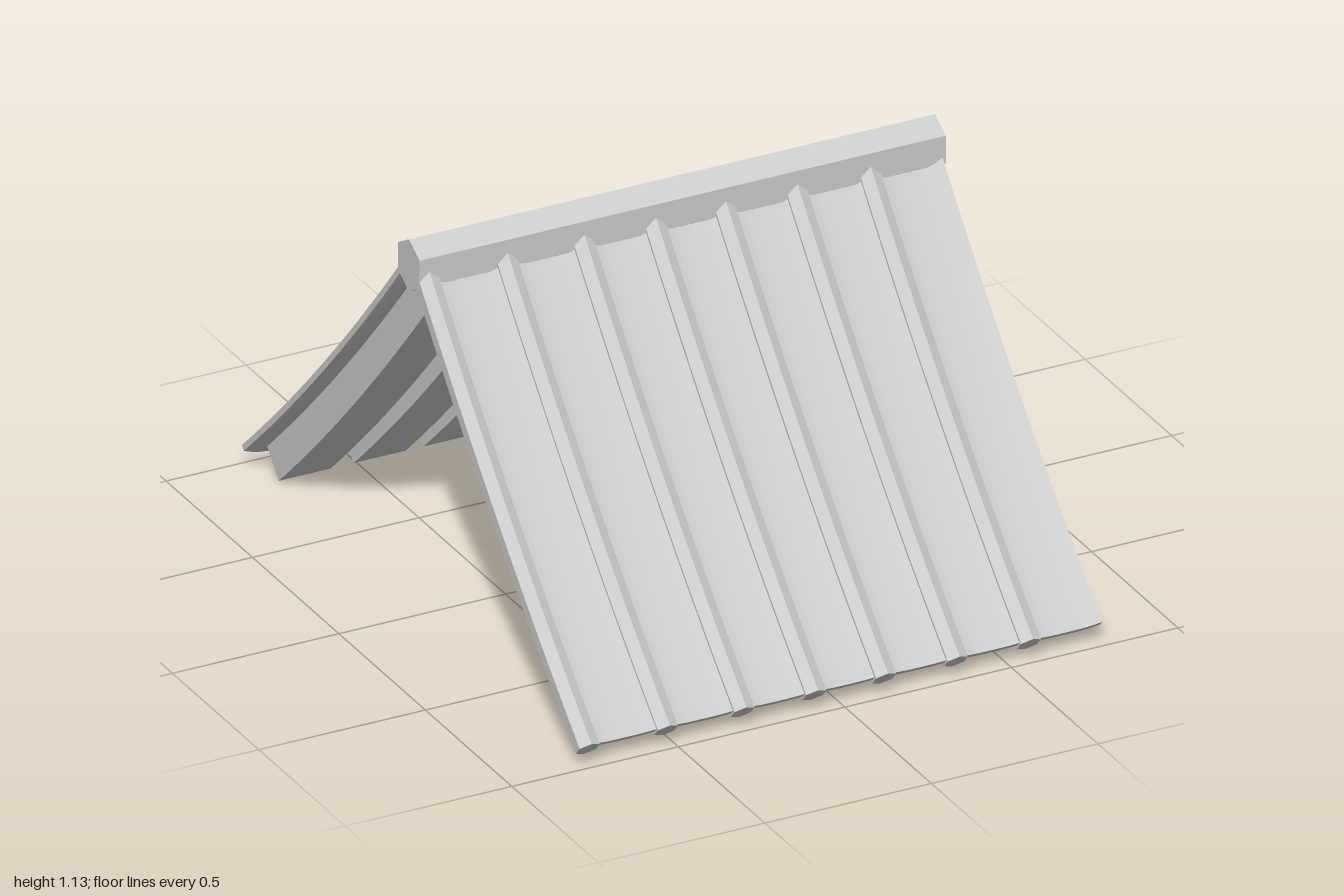
import * as THREE from 'three';
import { toCreasedNormals } from 'three/addons/utils/BufferGeometryUtils.js';

const material = new THREE.MeshStandardMaterial({ color: 0xcccccc });

// Sagging roof line: height and slope at depth z
const roofY = (z) => 0.07 - (z - 1) + 0.156 * (z - 1) * (z - 0.4);
const roofSlope = (z) => -1 + 0.156 * (2 * z - 1.4);

// Sweep a counter-clockwise section of [x, height above roof line] up the slope.
// A mitred sweep ends in the upright plane z = 0.
function sweep(name, section, zStart, zEnd, mitred = false) {
  const steps = 12, n = section.length, positions = [], index = [];
  const add = (x, h, z) => {
    const len = Math.hypot(1, roofSlope(z));
    positions.push(x, roofY(z) + h / len, z - h * roofSlope(z) / len);
  };
  for (let i = 0; i <= steps; i++) {
    const z = zStart + (zEnd - zStart) * i / steps;
    for (const [x, h] of section) add(x, h, z);
  }
  let rings = steps + 1;
  if (mitred) {
    for (const [x, h] of section) positions.push(x, roofY(0) + h * Math.hypot(1, roofSlope(0)), 0);
    rings++;
  }
  for (let r = 0; r < rings - 1; r++) {
    for (let i = 0; i < n; i++) {
      const a = r * n + i, b = r * n + (i + 1) % n;
      index.push(a, a + n, b + n, a, b + n, b);
    }
  }
  // End caps
  const last = (rings - 1) * n;
  const outline = section.map(([x, h]) => new THREE.Vector2(x, h));
  for (const [a, b, c] of THREE.ShapeUtils.triangulateShape(outline, [])) {
    index.push(a, b, c, last + a, last + c, last + b);
  }
  const geometry = new THREE.BufferGeometry();
  geometry.setAttribute('position', new THREE.Float32BufferAttribute(positions, 3));
  geometry.setIndex(index);
  const mesh = new THREE.Mesh(toCreasedNormals(geometry, 0.45), material);
  mesh.name = name;
  return mesh;
}

const ribXs = [-0.76, -0.525, -0.295, -0.08, 0.13, 0.345, 0.565];
const rafterXs = [-0.663, -0.435, -0.215, -0.003, 0.22, 0.43, 0.655];

function createSlope() {
  const slope = new THREE.Group();

  // Hollow-curved roofing between the ribs
  const edges = [...ribXs, 0.78];
  for (let i = 0; i < ribXs.length; i++) {
    const top = [], bottom = [];
    for (let k = 0; k <= 10; k++) {
      const t = k / 10;
      const x = THREE.MathUtils.lerp(edges[i], edges[i + 1], t);
      const h = -0.031 + 0.016 * Math.abs(2 * t - 1) ** 3;
      top.unshift([x, h]);
      bottom.push([x, h - 0.017]);
    }
    slope.add(sweep('roofPan', [...bottom, ...top], 0.995, 0.045));
  }

  // Six-sided ribs over the joints
  for (const x of ribXs) {
    const hexagon = [[0, 0], [-0.03, -0.017], [-0.03, -0.05], [0, -0.067], [0.03, -0.05], [0.03, -0.017]];
    slope.add(sweep('rib', hexagon.map(([dx, h]) => [x + dx, h]), 1, 0.045));
  }

  // Broad rafters underneath, meeting under the ridge
  for (const x of rafterXs) {
    const w = 0.078;
    slope.add(sweep('rafter', [[x - w, -0.144], [x + w, -0.144], [x + w, -0.04], [x - w, -0.04]], 0.96, 0.15, true));
  }
  return slope;
}

export function createModel() {
  const roof = new THREE.Group();
  roof.name = 'gableRoof';

  // The back slope is the front one turned half around
  const front = createSlope();
  front.name = 'frontSlope';
  const back = createSlope();
  back.name = 'backSlope';
  back.rotation.y = Math.PI;
  roof.add(front, back);

  // Six-sided ridge beam
  const shape = new THREE.Shape([
    [0, 1.133], [-0.062, 1.097], [-0.062, 1.014], [0, 0.976], [0.062, 1.014], [0.062, 1.097],
  ].map(([z, y]) => new THREE.Vector2(z, y)));
  const beam = new THREE.ExtrudeGeometry(shape, { depth: 1.58, bevelEnabled: false });
  beam.translate(0, 0, -0.79).rotateY(Math.PI / 2);
  const ridge = new THREE.Mesh(beam, material);
  ridge.name = 'ridgeBeam';
  roof.add(ridge);
  return roof;
}
